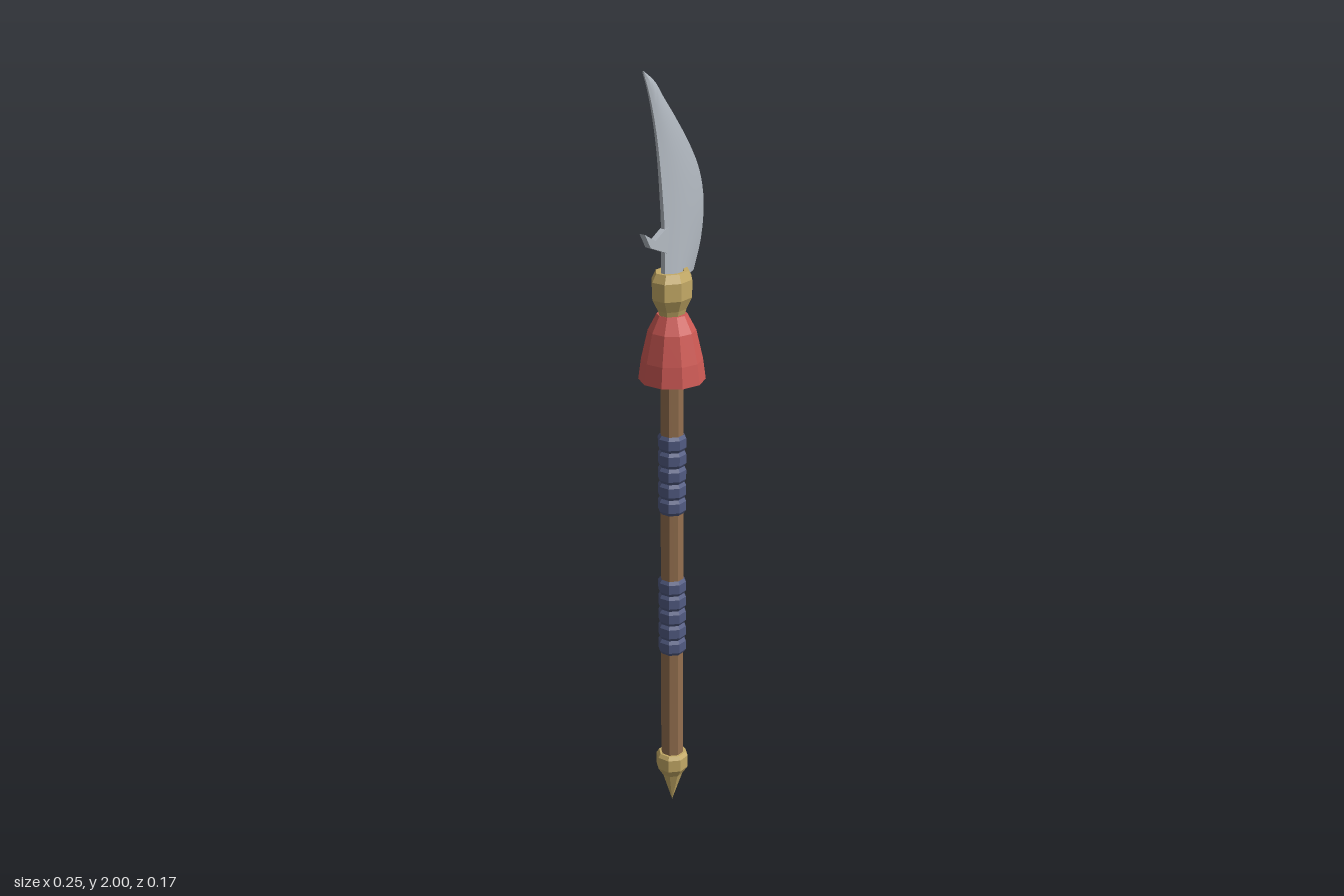
import * as THREE from 'three';
import { toCreasedNormals } from 'three/addons/utils/BufferGeometryUtils.js';

const AXIS = -0.008; // the pole sits slightly off the blade's centre
const material = (color, flatShading = true) =>
  new THREE.MeshStandardMaterial({ color, flatShading });
const steel = material(0xb4bbc3, false);
const hookSteel = material(0xb4bbc3);
const brass = material(0xc4aa66);
const wood = material(0x94704f);
const cloth = material(0xcf5a55);
const wrap = material(0x525b82);

// Faceted turned part from [radius, y] pairs, bottom to top
function turned(name, profile, sides, mat, phi = 0) {
  const points = profile.map(([r, y]) => new THREE.Vector2(r, y));
  const mesh = new THREE.Mesh(new THREE.LatheGeometry(points, sides, phi), mat);
  mesh.name = name;
  mesh.position.x = AXIS;
  return mesh;
}

const spline = (pts) =>
  new THREE.CatmullRomCurve3(pts.map(([x, y]) => new THREE.Vector3(x, y, 0)));

// Blade skinned between its spine and its cutting edge
function bladeGeometry() {
  const spine = spline([[-0.045, 1.48], [-0.045, 1.55], [-0.046, 1.62], [-0.052, 1.69],
    [-0.06, 1.76], [-0.071, 1.83], [-0.09, 1.91], [-0.107, 1.96], [-0.125, 2]]);
  const edge = spline([[0.083, 1.475], [0.114, 1.55], [0.125, 1.64], [0.107, 1.72],
    [0.067, 1.79], [0.005, 1.87], [-0.042, 1.925], [-0.075, 1.965], [-0.125, 2]]);
  const section = [0.45, 0.8, 1, 0.95, 0.75, 0.42, 0]; // half thickness, spine to edge
  const n = section.length, ring = 2 * n - 1, steps = 32;
  const pos = [], index = [];
  for (let i = 0; i <= steps; i++) {
    const t = i / steps;
    const a = spine.getPoint(t), b = edge.getPoint(t);
    const thick = 0.015 * (1 - t) + 0.003 * t;
    for (let j = 0; j < ring; j++) {
      const k = j < n ? j : ring - 1 - j;
      const p = a.clone().lerp(b, k / (n - 1));
      pos.push(p.x, p.y, (j < n ? 1 : -1) * section[k] * thick);
    }
  }
  for (let i = 0; i < steps; i++) {
    for (let j = 0; j < ring; j++) {
      const a = i * ring + j, b = i * ring + (j + 1) % ring;
      index.push(a, b, b + ring);
      if (i < steps - 1) index.push(a, b + ring, a + ring);
    }
  }
  for (let j = 1; j < ring - 1; j++) index.push(0, j + 1, j);
  const g = new THREE.BufferGeometry();
  g.setAttribute('position', new THREE.Float32BufferAttribute(pos, 3));
  g.setIndex(index);
  return toCreasedNormals(g, 0.6);
}

export function createModel() {
  const model = new THREE.Group();
  model.name = 'polearm';
  const turn = Math.PI / 8;

  // Pole with its spiked foot
  model.add(turned('shaft', [[0.03, 0.1], [0.03, 1.4]], 8, wood, turn));
  model.add(turned('footSpike', [[0, 0], [0.028, 0.085], [0.043, 0.108],
    [0.043, 0.142], [0.036, 0.152], [0.028, 0.152]], 8, brass, turn));

  // Two wrapped grips of five bands each
  for (const [name, base] of [['lowerGrip', 0.455], ['upperGrip', 0.855]]) {
    const grip = new THREE.Group();
    grip.name = name;
    for (let i = 0; i < 5; i++) {
      const y = base + i * 0.043;
      grip.add(turned('gripBand', [[0.031, y], [0.037, y + 0.009],
        [0.037, y + 0.034], [0.031, y + 0.043]], 8, wrap, turn));
    }
    model.add(grip);
  }

  // Cloth tassel skirt, closed underneath
  model.add(turned('tassel', [[0, 1.217], [0.084, 1.217], [0.077, 1.27],
    [0.06, 1.345], [0.038, 1.387], [0, 1.387]], 10, cloth));

  // Socket collar, flattened front to back
  const collar = turned('collar', [[0, 1.38], [0.036, 1.38], [0.043, 1.4], [0.06, 1.43],
    [0.06, 1.475], [0.048, 1.496], [0.036, 1.496], [0.031, 1.486], [0, 1.486]], 8, brass, turn);
  collar.scale.z = 0.8;
  model.add(collar);

  const blade = new THREE.Mesh(bladeGeometry(), steel);
  blade.name = 'blade';
  model.add(blade);

  // Small hook on the blade's back
  const outline = [[-0.03, 1.54], [-0.045, 1.55], [-0.105, 1.575], [-0.128, 1.613],
    [-0.085, 1.588], [-0.045, 1.608], [-0.03, 1.61]];
  const hookShape = new THREE.Shape(outline.map(([x, y]) => new THREE.Vector2(x, y)));
  const hook = new THREE.Mesh(
    new THREE.ExtrudeGeometry(hookShape, { depth: 0.016, bevelEnabled: false }), hookSteel);
  hook.name = 'backHook';
  hook.position.z = -0.008;
  model.add(hook);

  return model;
}
